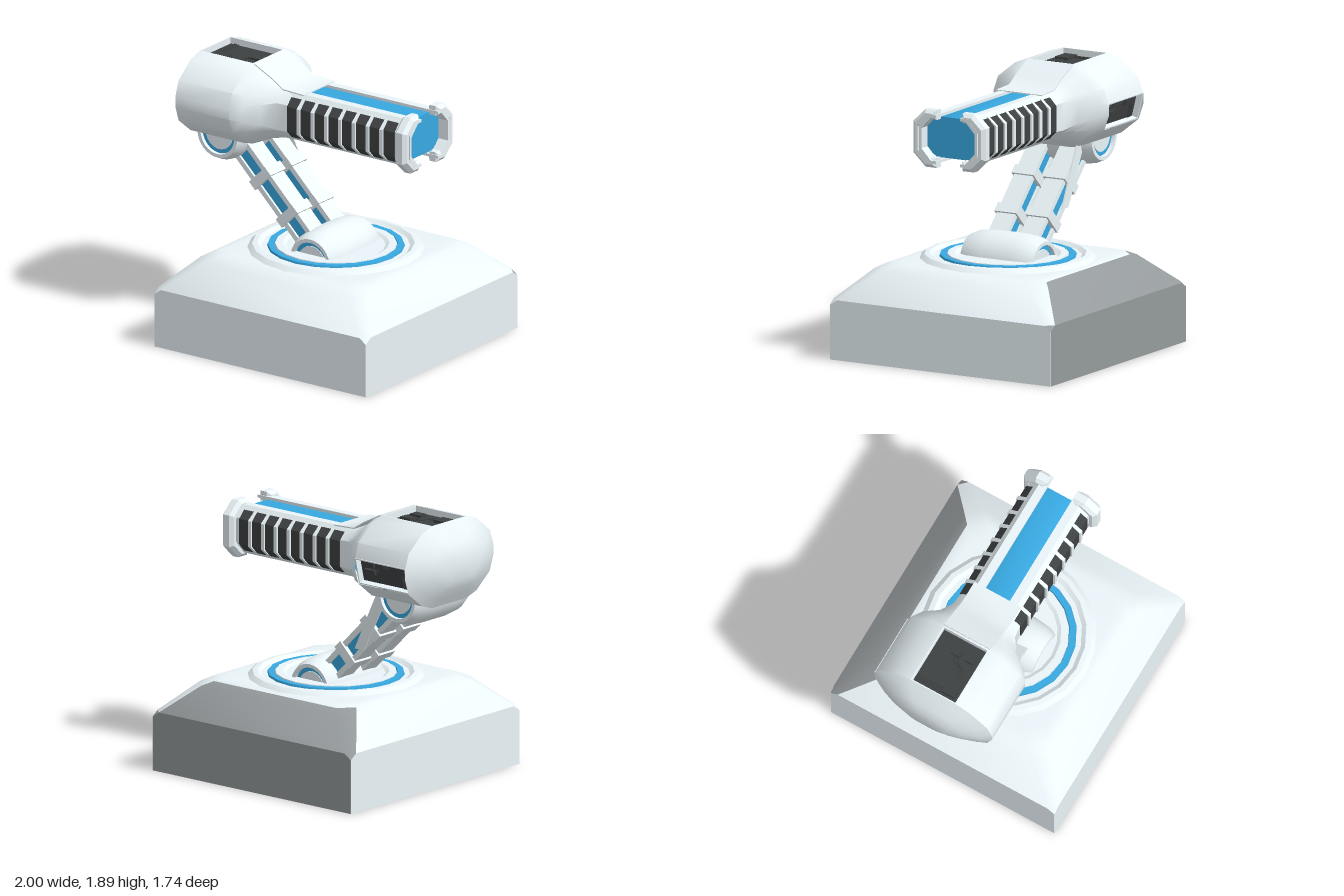
import * as THREE from 'three';
import { toCreasedNormals } from 'three/addons/utils/BufferGeometryUtils.js';

const mat = (color) => new THREE.MeshStandardMaterial({ color, side: THREE.DoubleSide });
const PALE = mat(0xebf5f9), SHADE = mat(0x969b9d), BLUE = mat(0x38aae3), DARK = mat(0x3e4142);

function add(parent, name, geometry, material = PALE, x = 0, y = 0, z = 0) {
  const mesh = new THREE.Mesh(geometry, material);
  mesh.name = name;
  mesh.position.set(x, y, z);
  parent.add(mesh);
  return mesh;
}

const box = (w, h, d) => new THREE.BoxGeometry(w, h, d);

// Skin a list of closed rings; skip(i, j) leaves openings, caps closes the ends
function loft(rings, skip = () => false, caps = true) {
  const pos = [], n = rings[0].length;
  const tri = (...pts) => pts.forEach((p) => pos.push(...p));
  const centre = (r) => [0, 1, 2].map((k) => r.reduce((s, p) => s + p[k], 0) / n);
  const first = rings[0], last = rings[rings.length - 1];
  for (let j = 0; j < n; j++) {
    const k = (j + 1) % n;
    for (let i = 0; i < rings.length - 1; i++) {
      if (skip(i, j)) continue;
      const a = rings[i][j], b = rings[i][k], c = rings[i + 1][k], d = rings[i + 1][j];
      tri(a, d, c);
      tri(a, c, b);
    }
    if (!caps) continue;
    tri(centre(first), first[j], first[k]);
    tri(centre(last), last[k], last[j]);
  }
  const g = new THREE.BufferGeometry();
  g.setAttribute('position', new THREE.Float32BufferAttribute(pos, 3));
  return toCreasedNormals(g, 0.65);
}

function lathe(points, sides) {
  const g = new THREE.LatheGeometry(points.map(([r, y]) => new THREE.Vector2(r, y)), sides);
  return toCreasedNormals(g, 0.5);
}

// Rectangular ring with cut corners, for the base
function baseRing([inset, y, c]) {
  const X = 0.88 - inset, Z = 0.87 - inset;
  return [[X, Z - c], [X - c, Z], [c - X, Z], [-X, Z - c], [-X, c - Z], [c - X, -Z], [X - c, -Z], [X, c - Z]]
    .map(([x, z]) => [x + 0.12, y, z]);
}

// Sixteen-sided section; t blends the round head into the boxier barrel
function headRing([x, cy, hy, hz, t]) {
  const round = [[1, 0.13], [0.92, 0.5], [0.62, 0.88], [0.385, 1]];
  const boxy = [[1, 0.55], [0.9, 0.7], [0.75, 0.88], [0.62, 1]];
  const q = round.map((p, i) => p.map((v, k) => v + (boxy[i][k] - v) * t));
  const r = [...q].reverse();
  return [...q, ...r.map(([z, y]) => [-z, y]), ...q.map(([z, y]) => [-z, -y]), ...r.map(([z, y]) => [z, -y])]
    .map(([z, y]) => [x, cy + y * hy, z * hz]);
}

// C-shaped strip on one side of the barrel, swept along x
function sideStrip(side, upper, t, x0, length, bevel = 0) {
  const outer = [...upper, ...[...upper].reverse().map(([z, y]) => [z, -y])];
  const thin = upper.map(([z, y], i) => [i ? z - t : z, y - t]);
  const inner = [...thin, ...[...thin].reverse().map(([z, y]) => [z, -y])].reverse();
  const shape = new THREE.Shape([...outer, ...inner].map(([z, y]) => new THREE.Vector2(-side * z, y)));
  const g = new THREE.ExtrudeGeometry(shape, {
    depth: length, bevelEnabled: bevel > 0, bevelSize: bevel, bevelThickness: bevel, bevelSegments: 1,
  });
  return g.rotateY(Math.PI / 2).translate(x0, 1.575, 0);
}

// Pivot drum across z with a blue ring inlaid in each end
function knuckle(name, x, y) {
  const g = new THREE.Group();
  g.name = name;
  g.position.set(x, y, 0);
  const half = [[0.001, 0.265], [0.11, 0.265], [0.112, 0.25], [0.138, 0.25], [0.14, 0.285], [0.165, 0.285], [0.19, 0.23], [0.203, 0.12]];
  const profile = [...half.map(([r, z]) => [r, -z]), ...[...half].reverse()];
  add(g, 'drum', lathe(profile, 32).rotateX(Math.PI / 2));
  for (const s of [-1, 1]) add(g, 'pivotRing', new THREE.RingGeometry(0.11, 0.139, 32), BLUE, 0, 0, s * 0.26);
  return g;
}

// Open service bay with a dark floor, walls and simple circuitry
function serviceBay(name, w, d) {
  const g = new THREE.Group();
  g.name = name;
  add(g, 'bayFloor', box(w, 0.01, d), DARK, 0, -0.05, 0);
  for (const s of [-1, 1]) {
    add(g, 'bayWall', box(w, 0.055, 0.008), PALE, 0, -0.0275, s * (d / 2 - 0.004));
    add(g, 'bayWall', box(0.008, 0.055, d), PALE, s * (w / 2 - 0.004), -0.0275, 0);
  }
  add(g, 'chip', box(0.13, 0.02, d * 0.28), DARK, -w * 0.26, -0.037, d * 0.25);
  for (const z of [-0.03, 0.27]) add(g, 'chip', box(0.09, 0.02, d * 0.18), DARK, w * 0.3, -0.037, d * z);
  for (let i = 0; i < 3; i++) {
    const z = d * (0.2 + i * 0.05);
    const path = new THREE.CurvePath();
    const pts = [[-0.12, z], [0.02, z], [0.05, z - d * 0.22], [0.13, z - d * 0.22]]
      .map(([x, pz]) => new THREE.Vector3(x, -0.042, pz));
    for (let k = 0; k < 3; k++) path.add(new THREE.LineCurve3(pts[k], pts[k + 1]));
    add(g, 'wire', new THREE.TubeGeometry(path, 12, 0.004, 5), DARK);
    add(g, 'wire', box(0.006, 0.008, d * 0.6), DARK, -w * 0.4 + i * 0.015, -0.042, -d * 0.18);
  }
  return g;
}

export function createModel() {
  const model = new THREE.Group();
  model.name = 'turret';

  // Base block with sloped shoulders and a darker back
  const base = [[0, 0, 0.002], [0, 0.375, 0.002], [0, 0.412, 0.055], [0.185, 0.6, 0.09], [0.24, 0.632, 0.1],
    [0.275, 0.643, 0.11], [0.32, 0.645, 0.12]].map(baseRing);
  const isBack = (i, j) => i < 4 && (j === 4 || j === 5 || (j === 6 && i === 1));
  add(model, 'base', loft(base, isBack));
  add(model, 'baseBack', loft(base, (i, j) => !isBack(i, j), false), SHADE);

  // Turntable with an inlaid ring
  add(model, 'turntable', lathe([[0.605, 0.638], [0.565, 0.672], [0.53, 0.676], [0.5, 0.656], [0.465, 0.656], [0.46, 0.65],
    [0.415, 0.65], [0.41, 0.674], [0.36, 0.674], [0.335, 0.66], [0.001, 0.66]], 20), PALE, 0.12, 0, 0);
  add(model, 'turntableRing', lathe([[0.464, 0.654], [0.46, 0.67], [0.417, 0.67], [0.413, 0.654]], 20), BLUE, 0.12, 0, 0);

  // Pivots and the pair of arms between them
  model.add(knuckle('lowerPivot', 0.11, 0.61), knuckle('upperPivot', -0.66, 1.365));
  for (const s of [-1, 1]) {
    const arm = new THREE.Group();
    arm.name = 'arm';
    arm.position.set(0.11, 0.62, s * 0.123);
    arm.rotation.z = Math.PI * 0.75;
    add(arm, 'armCore', box(1.08, 0.1, 0.11), BLUE, 0.54, 0, 0);
    for (const e of [-1, 1]) add(arm, 'armRail', box(1.08, 0.036, 0.145), PALE, 0.54, e * 0.06, 0);
    for (const x of [0.35, 0.665]) add(arm, 'armBand', box(0.07, 0.185, 0.175), PALE, x, 0, 0);
    model.add(arm);
  }

  // Head shell, open at the two service bays
  const sections = [[-1, 1.6, 0.1, 0.17, 0], [-0.97, 1.6, 0.16, 0.28, 0], [-0.925, 1.6, 0.225, 0.385, 0],
    [-0.885, 1.6, 0.285, 0.455, 0], [-0.44, 1.6, 0.285, 0.455, 0], [-0.37, 1.597, 0.252, 0.41, 0.15],
    [-0.29, 1.585, 0.207, 0.3, 0.5], [-0.2, 1.575, 0.175, 0.24, 1], [-0.11, 1.575, 0.168, 0.23, 1]];
  add(model, 'head', loft(sections.map(headRing), (i, j) => i === 3 && [3, 7, 8].includes(j)));
  const topBay = serviceBay('topBay', 0.445, 0.35);
  topBay.position.set(-0.6625, 1.885, 0);
  const backBay = serviceBay('backBay', 0.445, 0.19);
  backBay.position.set(-0.6625, 1.55, -0.435);
  backBay.rotation.x = -1.81;
  model.add(topBay, backBay);

  // Opened hatch covers: one folded over the neck, one hanging beside the rear arm
  const hatch = [[-0.43, 1.888], [-0.28, 1.812], [-0.19, 1.755], [-0.02, 1.748]].map(([x, y]) =>
    [[x, y - 0.008, -0.178], [x, y - 0.008, 0.178], [x, y, 0.178], [x, y, -0.178]]);
  add(model, 'topHatch', loft(hatch));
  const hatchEnd = (x0, x1, y) => [[x0, y, -0.215], [x0, y, -0.205], [x1, y, -0.205], [x1, y, -0.215]];
  add(model, 'backHatch', loft([hatchEnd(-0.31, -0.23, 0.93), hatchEnd(-0.55, -0.45, 1.4)]));

  // Barrel core
  add(model, 'barrelCore', loft([-0.2, 0.82].map((x) => headRing([x, 1.58, 0.14, 0.212, 1]))), BLUE);

  // Barrel side shells, grip panels, ribs and split muzzle collar
  for (const s of [-1, 1]) {
    add(model, 'barrelShell', sideStrip(s, [[0.095, 0.168], [0.155, 0.168], [0.228, 0.09]], 0.02, -0.2, 1.1));
    const pitch = 0.1145;
    for (let i = 0; i < 8; i++) {
      const x = -0.115 + i * pitch;
      add(model, 'gripPanel', sideStrip(s, [[0.187, 0.142], [0.238, 0.088]], 0.02, x, 0.088), DARK);
      if (i < 7) add(model, 'gripRib', sideStrip(s, [[0.18, 0.15], [0.25, 0.09]], 0.03, x + 0.088, pitch - 0.088));
    }
    add(model, 'muzzleCollar', sideStrip(s, [[0.125, 0.175], [0.18, 0.175], [0.26, 0.1]], 0.02, 0.825, 0.05, 0.024));
  }
  return model;
}
